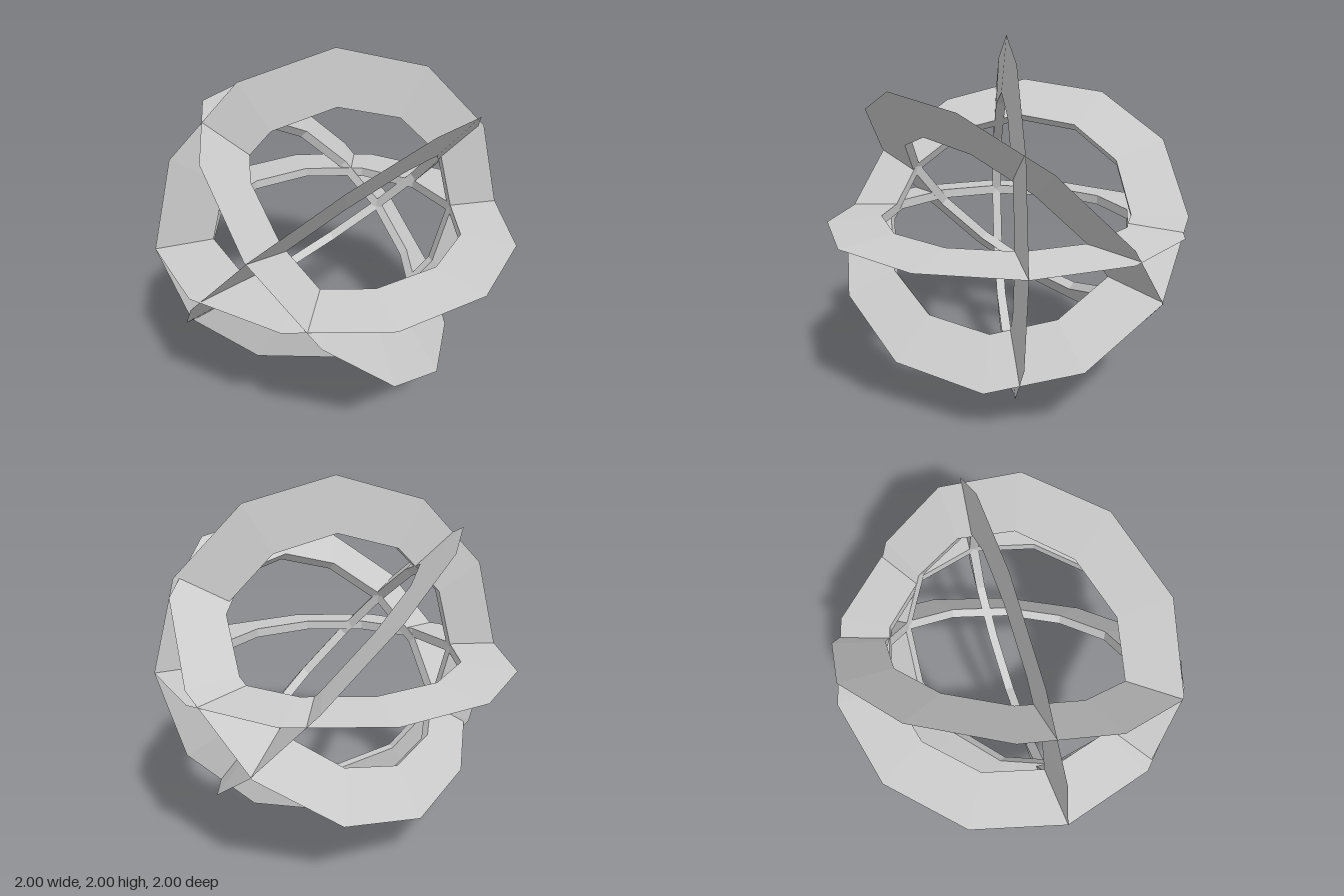
import * as THREE from 'three';

// Four interlocking twelve-sided rings, each with a thin wedge section that is sharp at the outer rim
export function createModel() {
  const group = new THREE.Group();
  const material = new THREE.MeshStandardMaterial({ color: 0xcccccc, flatShading: true });

  // Three-sided torus flattened along its axis: outer radius 1, inner radius 0.7
  const ringGeometry = new THREE.TorusGeometry(0.8, 0.2, 3, 12);
  ringGeometry.scale(1, 1, 0.16);

  // Each ring lies in the plane of u and v, with a corner on u
  const rings = [
    ['uprightRing', [1, 0, 0], [0, 1, 0]],
    ['levelRing', [1, 0, 0], [0, 0, -1]],
    ['tiltedRingA', [-0.334, -0.07, 0.94], [0.659, -0.73, 0.18]],
    ['tiltedRingB', [-0.18, 0.6, 0.78], [-0.89, -0.435, 0.11]],
  ];

  for (const [name, u, v] of rings) {
    const x = new THREE.Vector3(...u).normalize();
    const z = new THREE.Vector3().crossVectors(x, new THREE.Vector3(...v)).normalize();
    const y = new THREE.Vector3().crossVectors(z, x);
    const ring = new THREE.Mesh(ringGeometry, material);
    ring.name = name;
    ring.quaternion.setFromRotationMatrix(new THREE.Matrix4().makeBasis(x, y, z));
    ring.position.y = 1;
    group.add(ring);
  }
  return group;
}
